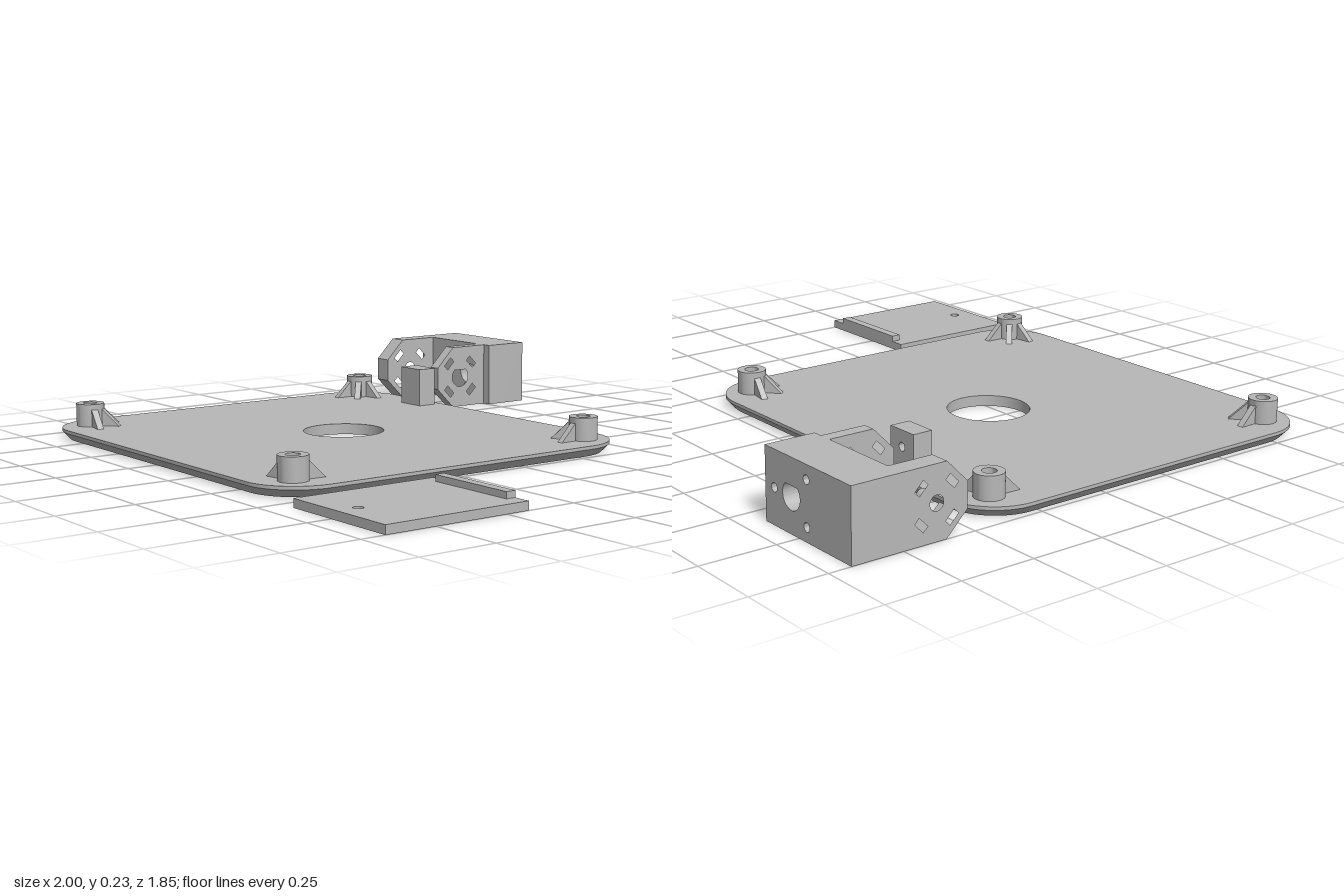
import * as THREE from 'three';
import { toCreasedNormals } from 'three/addons/utils/BufferGeometryUtils.js';

const grey = new THREE.MeshStandardMaterial({ color: 0xb8b8b8 });
grey.name = 'plain grey';

function add(parent, name, geometry) {
  const mesh = new THREE.Mesh(toCreasedNormals(geometry, 0.5), grey);
  mesh.name = name;
  parent.add(mesh);
  return mesh;
}

function box(parent, name, x0, x1, y0, y1, z0, z1) {
  const g = new THREE.BoxGeometry(x1 - x0, y1 - y0, z1 - z0);
  g.translate((x0 + x1) / 2, (y0 + y1) / 2, (z0 + z1) / 2);
  return add(parent, name, g);
}

const polygon = (pts) => new THREE.Shape(pts.map(([x, y]) => new THREE.Vector2(x, y)));
const rect = (x0, x1, y0, y1) => polygon([[x0, y0], [x1, y0], [x1, y1], [x0, y1]]);

function circle(x, y, r) {
  return new THREE.Path().absarc(x, y, r, 0, Math.PI * 2, true);
}

// round hole with a pointed roof
function teardrop(x, y, r) {
  const p = new THREE.Path();
  p.moveTo(x, y + r * Math.SQRT2);
  p.absarc(x, y, r, Math.PI * 0.25, Math.PI * 0.75, true);
  p.closePath();
  return p;
}

// small rectangle turned across the diagonal at angle a
function slot(cx, cy, a) {
  const c = Math.cos(a), s = Math.sin(a), d = 0.076;
  return new THREE.Path([[-1, -1], [-1, 1], [1, 1], [1, -1]].map(([i, j]) => {
    const u = d + i * 0.011, v = j * 0.021;
    return new THREE.Vector2(cx + u * c - v * s, cy + u * s + v * c);
  }));
}

function extrude(shape, depth, holes = []) {
  shape.holes.push(...holes);
  return new THREE.ExtrudeGeometry(shape, { depth, bevelEnabled: false, curveSegments: 20 });
}

// lays an extrusion flat: shape (x, -z), rising from y
const flat = (g, y) => g.rotateX(-Math.PI / 2).translate(0, y, 0);

function roundedRect(x0, x1, y0, y1, r) {
  const s = new THREE.Shape();
  s.absarc(x1 - r, y1 - r, r, 0, Math.PI / 2);
  s.absarc(x0 + r, y1 - r, r, Math.PI / 2, Math.PI);
  s.absarc(x0 + r, y0 + r, r, Math.PI, Math.PI * 1.5);
  s.absarc(x1 - r, y0 + r, r, Math.PI * 1.5, Math.PI * 2);
  s.closePath();
  return s;
}

function buildBase(root) {
  const base = new THREE.Group();
  base.name = 'basePlate';
  const outline = () => roundedRect(-1, 0.5, -0.92, 0.47, 0.18);
  const hole = () => circle(-0.25, -0.17, 0.138);
  add(base, 'plateTop', flat(extrude(outline(), 0.011, [hole()]), 0.026));

  // lower layer, its outer edge tapered inward at the bottom
  const lower = flat(extrude(outline(), 0.026, [hole()]), 0);
  const p = lower.attributes.position;
  for (let i = 0; i < p.count; i++) {
    const dx = p.getX(i) + 0.25, dz = p.getZ(i) - 0.225;
    if (p.getY(i) < 0.001 && Math.hypot(dx, dz) > 0.4) {
      p.setX(i, -0.25 + dx * 0.973);
      p.setZ(i, 0.225 + dz * 0.971);
    }
  }
  add(base, 'plateChamfer', lower);

  // corner standoffs, each with three ribs pointing inward
  for (const sx of [1, -1]) for (const sz of [1, -1]) {
    const post = new THREE.Group();
    post.name = 'standoff';
    post.position.set(-0.25 - sx * 0.635, 0.037, 0.2225 - sz * 0.5775);
    const ring = new THREE.Shape().absarc(0, 0, 0.048, 0, Math.PI * 2);
    add(post, 'post', flat(extrude(ring, 0.078, [circle(0, 0, 0.023)]), 0));
    for (const deg of [-9, 41, 92]) {
      const t = THREE.MathUtils.degToRad(deg);
      const rib = extrude(polygon([[0.04, 0], [0.107, 0], [0.046, 0.06], [0.04, 0.06]]), 0.022);
      rib.translate(0, 0, -0.011).rotateY(Math.atan2(-sz * Math.sin(t), sx * Math.cos(t)));
      add(post, 'rib', rib);
    }
    base.add(post);
  }

  // upright block with a blind screw hole in its rear
  box(base, 'blockFront', -0.636, -0.524, 0.03, 0.173, -0.4, -0.37);
  add(base, 'blockRear', extrude(rect(-0.636, -0.524, 0.03, 0.173), 0.04, [circle(-0.58, 0.12, 0.014)])
    .translate(0, 0, -0.44));
  root.add(base);
}

function buildBracket(root) {
  const bracket = new THREE.Group();
  bracket.name = 'bracket';
  const cx = -0.714, cy = 0.115;
  const body = () => rect(-1, -0.583, 0, 0.23);
  const screws = [[0.085, 0], [-0.075, 0.07], [-0.075, -0.07]].map(([x, y]) => circle(cx + x, cy + y, 0.014));
  add(bracket, 'bodyRear', extrude(body(), 0.1, [teardrop(cx, cy, 0.043), ...screws]).translate(0, 0, -0.925));
  add(bracket, 'bodyFront', extrude(body(), 0.07, [teardrop(cx, cy, 0.043)]).translate(0, 0, -0.825));

  // side arms with chamfered tips and slotted hubs; shape is (-z, y)
  const arm = (name, x0, x1, hub) => {
    const side = polygon([[0.755, 0], [0.755, 0.23], [0.602, 0.23], [0.528, 0.156], [0.528, 0.074], [0.602, 0]].reverse());
    const slots = [1, 3, 5, 7].map((k) => slot(0.637, cy, k * Math.PI / 4));
    add(bracket, name, extrude(side, x1 - x0, [hub, ...slots]).rotateY(Math.PI / 2).translate(x0, 0, 0));
  };
  arm('rightArm', -1, -0.934, circle(0.637, cy, 0.024));
  arm('leftArm', -0.658, -0.615, teardrop(0.637, cy, 0.038));
  root.add(bracket);
}

function buildCover(root) {
  const cover = new THREE.Group();
  cover.name = 'cover';
  add(cover, 'coverPlate', flat(extrude(rect(0.565, 1, -0.92, -0.42), 0.028, [circle(0.78, -0.85, 0.016)]), 0));
  box(cover, 'coverRidge', 0.618, 0.942, 0.02, 0.049, 0.42, 0.453);
  root.add(cover);
}

export function createModel() {
  const root = new THREE.Group();
  root.name = 'mountingKit';
  buildBase(root);
  buildBracket(root);
  buildCover(root);
  return root;
}
